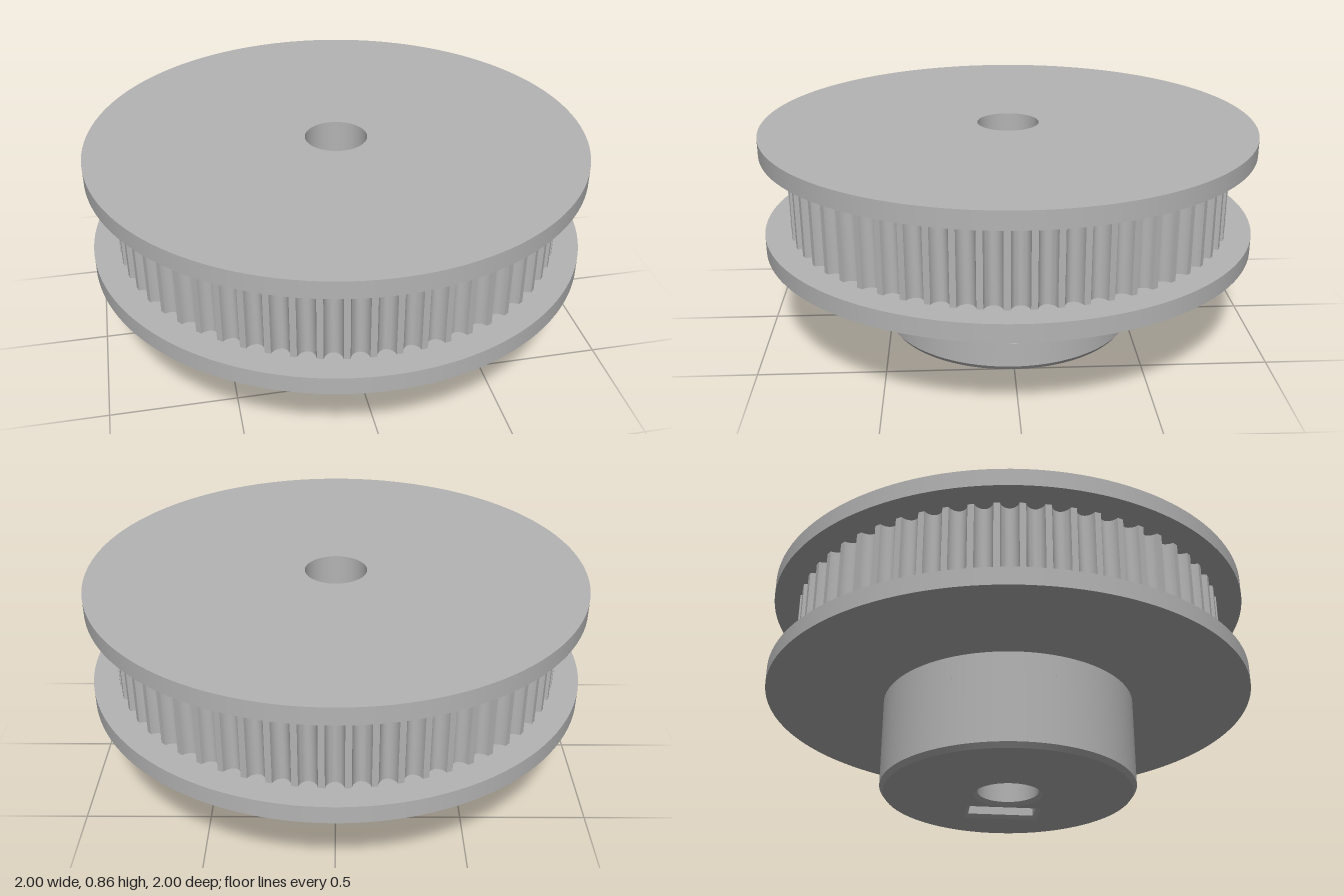
import * as THREE from 'three';
import { mergeGeometries, toCreasedNormals } from 'three/addons/utils/BufferGeometryUtils.js';

const SEG = 128;
const BORE = 0.125, HUB = 0.52, CHAMFER = 0.015;
const SCREW_Y = 0.195, SCREW_R = 0.075, PATCH = 0.1; // set screw hole, half size of the patch around it
const SLOT_X0 = 0.165, SLOT_X1 = 0.29, SLOT_Z = 0.14; // nut slot

// Turned surface with crisp edges between the profile segments
function turned(points, start = 0, length = Math.PI * 2) {
  const bands = [];
  for (let i = 0; i < points.length - 1; i++) {
    const pair = [points[i], points[i + 1]].map(([r, y]) => new THREE.Vector2(r, y));
    bands.push(new THREE.LatheGeometry(pair, SEG, start, length));
  }
  return mergeGeometries(bands);
}

// Turned band that leaves a window on the +x side for the screw patch
function windowBand(r, y0, y1) {
  const a = Math.asin(PATCH / r);
  return turned([[r, y0], [r, y1]], Math.PI / 2 + a, Math.PI * 2 - 2 * a);
}

// Curved patch of a cylinder of radius r, pierced by the screw hole
function piercedPatch(r, inward) {
  const n = 64, rings = 6, pos = [], index = [];
  for (let j = 0; j <= rings; j++) {
    for (let i = 0; i < n; i++) {
      const t = (i / n) * Math.PI * 2, c = Math.cos(t), s = Math.sin(t);
      const edge = PATCH / Math.max(Math.abs(c), Math.abs(s));
      const d = THREE.MathUtils.lerp(SCREW_R, edge, j / rings);
      const z = d * s;
      pos.push(Math.sqrt(r * r - z * z), SCREW_Y + d * c, z);
      if (j === rings) continue;
      const a = j * n + i, b = a + n, e = j * n + (i + 1) % n, f = e + n;
      if (inward) index.push(a, e, b, b, e, f);
      else index.push(a, b, e, b, f, e);
    }
  }
  const g = new THREE.BufferGeometry();
  g.setAttribute('position', new THREE.Float32BufferAttribute(pos, 3));
  g.setIndex(index);
  g.computeVertexNormals();
  return g;
}

// Screw hole wall between two x positions given as functions of z
function screwWall(xInner, xOuter) {
  const g = new THREE.CylinderGeometry(SCREW_R, SCREW_R, 1, 64, 1, true).rotateZ(-Math.PI / 2);
  const p = g.attributes.position;
  for (let i = 0; i < p.count; i++) {
    const z = p.getZ(i);
    p.setX(i, p.getX(i) > 0 ? xOuter(z) : xInner(z));
    p.setY(i, p.getY(i) + SCREW_Y);
  }
  return g;
}

// Flat-sided strip between two rows of points
function strip(rowA, rowB) {
  const pos = [];
  for (let i = 0; i < rowA.length - 1; i++) {
    const [a, b, c, d] = [rowA[i], rowA[i + 1], rowB[i], rowB[i + 1]];
    pos.push(...a, ...c, ...b, ...b, ...c, ...d);
  }
  const g = new THREE.BufferGeometry();
  g.setAttribute('position', new THREE.Float32BufferAttribute(pos, 3));
  g.computeVertexNormals();
  return g;
}

function circlePath(r, x = 0, y = 0) {
  return new THREE.Path().absarc(x, y, r, 0, Math.PI * 2, true);
}

// Toothed rim outline: rounded grooves between narrow lands
function toothShape() {
  const teeth = 60, rim = 0.897, depth = 0.037, half = 0.035, pts = [];
  for (let i = 0; i < teeth; i++) {
    const mid = (i / teeth) * Math.PI * 2;
    for (let k = 0; k <= 10; k++) {
      const u = -Math.cos((k / 10) * Math.PI);
      const r = rim - depth * Math.pow(1 - u * u, 0.6);
      const a = mid + u * half / rim;
      pts.push(new THREE.Vector2(r * Math.cos(a), r * Math.sin(a)));
    }
  }
  const shape = new THREE.Shape(pts);
  shape.holes.push(circlePath(0.7));
  return shape;
}

export function createModel() {
  const model = new THREE.Group();
  const grey = new THREE.MeshStandardMaterial({ color: 0xb4b4b4, side: THREE.DoubleSide });
  grey.name = 'grey metal';
  const add = (name, geometry, parent = model) => {
    const mesh = new THREE.Mesh(geometry, grey);
    mesh.name = name;
    parent.add(mesh);
    return mesh;
  };
  const lowY = SCREW_Y - PATCH, highY = SCREW_Y + PATCH;

  // Flanges
  add('lowerFlange', turned([[HUB, 0.385], [1, 0.385], [1, 0.455], [0.8, 0.455]]));
  add('upperFlange', turned([[0.8, 0.79], [1, 0.79], [1, 0.86], [BORE, 0.86]]));

  // Toothed rim
  const rim = new THREE.ExtrudeGeometry(toothShape(), { depth: 0.345, bevelEnabled: false, curveSegments: 48 });
  rim.rotateX(-Math.PI / 2).translate(0, 0.45, 0);
  add('toothedRim', toCreasedNormals(rim, 0.5));

  // Hub with chamfered foot and pierced side
  const hub = new THREE.Group();
  hub.name = 'hub';
  model.add(hub);
  add('hubFoot', turned([[HUB - CHAMFER, 0], [HUB, 0.02], [HUB, lowY]]), hub);
  add('hubSide', windowBand(HUB, lowY, highY), hub);
  add('hubScrewSide', piercedPatch(HUB, false), hub);
  add('hubNeck', turned([[HUB, highY], [HUB, 0.385]]), hub);

  // Hub underside with openings for bore and slot
  const under = new THREE.Shape().absarc(0, 0, HUB - CHAMFER, 0, Math.PI * 2, false);
  const x0 = SLOT_X0 - CHAMFER, x1 = SLOT_X1 + CHAMFER, zo = SLOT_Z + CHAMFER;
  const slotHole = new THREE.Path([[x0, -zo], [x0, zo], [x1, zo], [x1, -zo]].map(([x, y]) => new THREE.Vector2(x, y)));
  under.holes.push(circlePath(BORE + CHAMFER), slotHole);
  add('hubUnderside', new THREE.ShapeGeometry(under, 64).rotateX(Math.PI / 2), hub);

  // Bore, chamfered at the bottom
  const bore = new THREE.Group();
  bore.name = 'bore';
  model.add(bore);
  add('boreUpper', turned([[BORE, 0.86], [BORE, highY]]), bore);
  add('boreMiddle', windowBand(BORE, highY, lowY), bore);
  add('boreScrewSide', piercedPatch(BORE, true), bore);
  add('boreLower', turned([[BORE, lowY], [BORE, CHAMFER], [BORE + CHAMFER, 0]]), bore);

  // Set screw hole
  const onCylinder = r => z => Math.sqrt(r * r - z * z);
  add('screwHoleOuter', screwWall(() => SLOT_X1, onCylinder(HUB)));
  add('screwHoleInner', screwWall(onCylinder(BORE), () => SLOT_X0));

  // Nut slot with a peaked roof and a chamfered mouth
  const slot = new THREE.Group();
  slot.name = 'nutSlot';
  model.add(slot);
  const apex = SLOT_Z / Math.cos(Math.PI / 6);
  const outline = [
    [-SLOT_Z, CHAMFER], [-SLOT_Z, SCREW_Y + apex / 2], [0, SCREW_Y + apex],
    [SLOT_Z, SCREW_Y + apex / 2], [SLOT_Z, CHAMFER],
  ];
  const wall = new THREE.Shape(outline.map(([z, y]) => new THREE.Vector2(z, y)));
  wall.holes.push(circlePath(SCREW_R, 0, SCREW_Y));
  add('slotInnerWall', new THREE.ShapeGeometry(wall, 32).rotateY(Math.PI / 2).translate(SLOT_X0, 0, 0), slot);
  add('slotOuterWall', new THREE.ShapeGeometry(wall, 32).rotateY(-Math.PI / 2).translate(SLOT_X1, 0, 0), slot);
  const row = x => outline.map(([z, y]) => [x, y, z]);
  add('slotSides', strip(row(SLOT_X1), row(SLOT_X0)), slot);
  const loop = (a, b, z, y) => [[a, y, -z], [b, y, -z], [b, y, z], [a, y, z], [a, y, -z]];
  add('slotMouth', strip(loop(x0, x1, zo, 0), loop(SLOT_X0, SLOT_X1, SLOT_Z, CHAMFER)), slot);

  return model;
}
